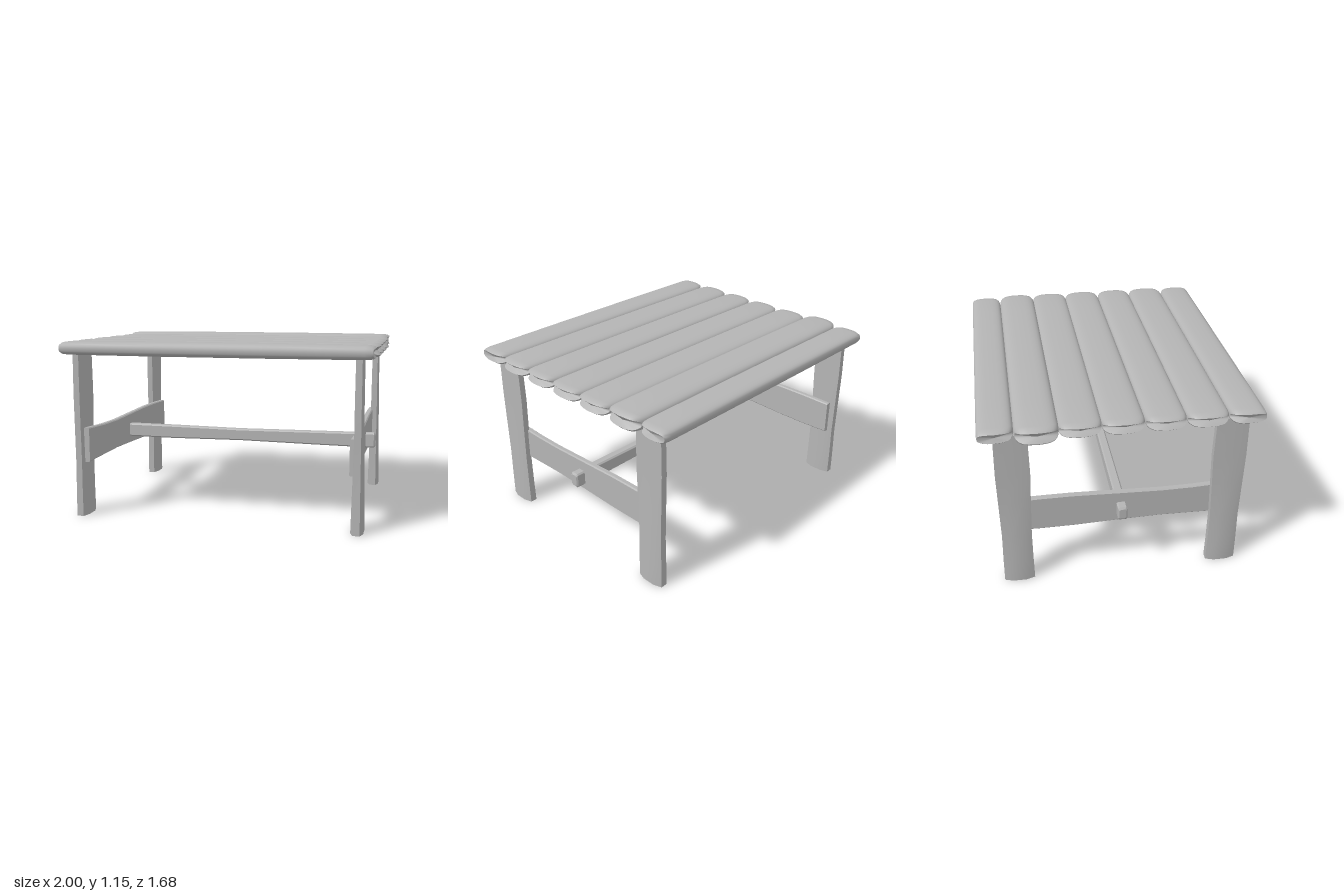
import * as THREE from 'three';
import { toCreasedNormals } from 'three/addons/utils/BufferGeometryUtils.js';

// Joins rings of [x, y, z] points into a closed solid with fan caps.
function loft(rings, crease) {
  const n = rings[0].length, pos = [], idx = [];
  rings.forEach(r => r.forEach(p => pos.push(...p)));
  for (let i = 0; i < rings.length - 1; i++) {
    for (let j = 0; j < n; j++) {
      const a = i * n + j, b = i * n + (j + 1) % n;
      idx.push(a, b, b + n, a, b + n, a + n);
    }
  }
  [0, rings.length - 1].forEach(k => {
    const c = pos.length / 3;
    pos.push(...[0, 1, 2].map(d => rings[k].reduce((s, p) => s + p[d], 0) / n));
    for (let j = 0; j < n; j++) {
      const a = k * n + j, b = k * n + (j + 1) % n;
      if (k === 0) idx.push(c, b, a); else idx.push(c, a, b);
    }
  });
  const g = new THREE.BufferGeometry();
  g.setAttribute('position', new THREE.Float32BufferAttribute(pos, 3));
  g.setIndex(idx);
  return toCreasedNormals(g, crease);
}

// Rectangle outline with cut corners, counter-clockwise.
function chamfered(u0, u1, v0, v1, c) {
  return [[u1, v0 + c], [u1, v1 - c], [u1 - c, v1], [u0 + c, v1],
    [u0, v1 - c], [u0, v0 + c], [u0 + c, v0], [u1 - c, v0]];
}

// Pillowy plank along x; the ends bow outwards and pinch in at the corners.
function slatGeometry({ z0, z1, left, right, y0 = 1.05, y1 = 1.14 }, outerSide) {
  const N = 28, outline = [];
  for (let i = 0; i < N; i++) {
    const a = i / N * Math.PI * 2, c = Math.cos(a), s = Math.sin(a);
    outline.push([Math.sign(c) * Math.abs(c) ** 0.62, Math.sign(s) * Math.abs(s) ** 0.62]);
  }
  const cy = (y0 + y1) / 2, cz = (z0 + z1) / 2, hy = (y1 - y0) / 2, hz = (z1 - z0) / 2;
  // [inset from end, height scale, width scale]
  const end = [[0, 0.62, 0.96], [0.014, 0.85, 0.985], [0.05, 0.94, 1], [0.3, 0.97, 1], [0.65, 1, 1]];
  const ring = ([inset, sy, sz], side, length) => outline.map(([u, v]) => {
    const fade = Math.max(0, 1 - inset / 0.6);
    const pinch = v * outerSide > 0 ? 0.012 * v * v : 0.025 * v * v + 0.035 * v ** 8;
    return [side * (length - inset - pinch * fade), cy + u * hy * sy, cz + v * hz * sz];
  });
  return loft([...end.map(e => ring(e, -1, -left)),
    ...end.slice().reverse().map(e => ring(e, 1, right))], 0.9);
}

// Upright board, slightly thicker towards the foot and wavy along its edges.
function legGeometry(sx, sz) {
  // [y, inner z, outer z, edge half thickness, middle half thickness, x]
  const rows = [[0, 0.557, 0.747, 0.022, 0.039, 0.893], [0.15, 0.56, 0.747, 0.021, 0.036, 0.893],
    [0.35, 0.562, 0.744, 0.02, 0.031, 0.892], [0.6, 0.556, 0.75, 0.02, 0.026, 0.891],
    [0.8, 0.55, 0.755, 0.02, 0.023, 0.89], [1.07, 0.556, 0.752, 0.019, 0.021, 0.89]];
  return loft(rows.map(([y, zi, zo, e, m, x]) => {
    const w = zo - zi, c = (zi + zo) / 2 * sz;
    return [[w / 2, -e], [w / 2, e], [w * 0.22, m], [-w * 0.22, m],
      [-w / 2, e], [-w / 2, -e], [-w * 0.22, -m], [w * 0.22, -m]]
      .map(([u, v]) => [x * sx + v, y, c + u]);
  }), 0.35);
}

// Side rail along z, gently waisted.
function railGeometry(sx) {
  const rows = [[-0.71, 0.352, 0.578], [-0.5, 0.347, 0.583], [-0.3, 0.348, 0.583], [0, 0.358, 0.573],
    [0.25, 0.364, 0.565], [0.45, 0.36, 0.567], [0.71, 0.354, 0.58]];
  const [a, b] = sx < 0 ? [-0.87, -0.832] : [0.842, 0.88];
  return loft(rows.map(([z, y0, y1]) =>
    chamfered(a, b, y0, y1, 0.007).map(([x, y]) => [x, y, z])), 0.35);
}

// Stretcher along x; its ends pass through both rails.
function stretcherGeometry() {
  const rows = [[-0.935, 0.42, 0.488, 0.022], [-0.925, 0.407, 0.5, 0.03], [-0.5, 0.405, 0.497, 0.03],
    [0, 0.411, 0.491, 0.029], [0.5, 0.405, 0.496, 0.03], [0.935, 0.401, 0.501, 0.03],
    [0.945, 0.412, 0.49, 0.022]];
  return loft(rows.map(([x, y0, y1, h]) =>
    chamfered(y0, y1, -h, h, 0.009).map(([y, z]) => [x, y, z])), 0.35);
}

export function createModel() {
  const model = new THREE.Group();
  model.name = 'slattedTable';
  const wood = new THREE.MeshStandardMaterial({ color: 0xb4b4b4 });
  wood.name = 'greyWood';
  const add = (name, geometry, parent = model) => {
    const mesh = new THREE.Mesh(geometry, wood);
    mesh.name = name;
    parent.add(mesh);
  };

  // Table top, back to front
  const top = new THREE.Group();
  top.name = 'tableTop';
  model.add(top);
  const slats = [
    { z0: -0.84, z1: -0.63, left: -0.97, right: 0.98 },
    { z0: -0.632, z1: -0.375, left: -1, right: 0.99, y0: 1.037, y1: 1.15 },
    { z0: -0.382, z1: -0.127, left: -0.98, right: 1 },
    { z0: -0.133, z1: 0.123, left: -0.98, right: 1 },
    { z0: 0.121, z1: 0.368, left: -0.98, right: 1 },
    { z0: 0.365, z1: 0.62, left: -0.98, right: 1 },
    { z0: 0.618, z1: 0.836, left: -0.975, right: 0.985 },
  ];
  slats.forEach((s, i) => add(`slat${i + 1}`, slatGeometry(s, i === 0 ? -1 : i === 6 ? 1 : 0), top));

  // Base
  for (const sx of [-1, 1]) {
    const side = sx > 0 ? 'Left' : 'Right';
    add(`front${side}Leg`, legGeometry(sx, 1));
    add(`back${side}Leg`, legGeometry(sx, -1));
    add(`side${side}Rail`, railGeometry(sx));
  }
  add('stretcher', stretcherGeometry());
  return model;
}
